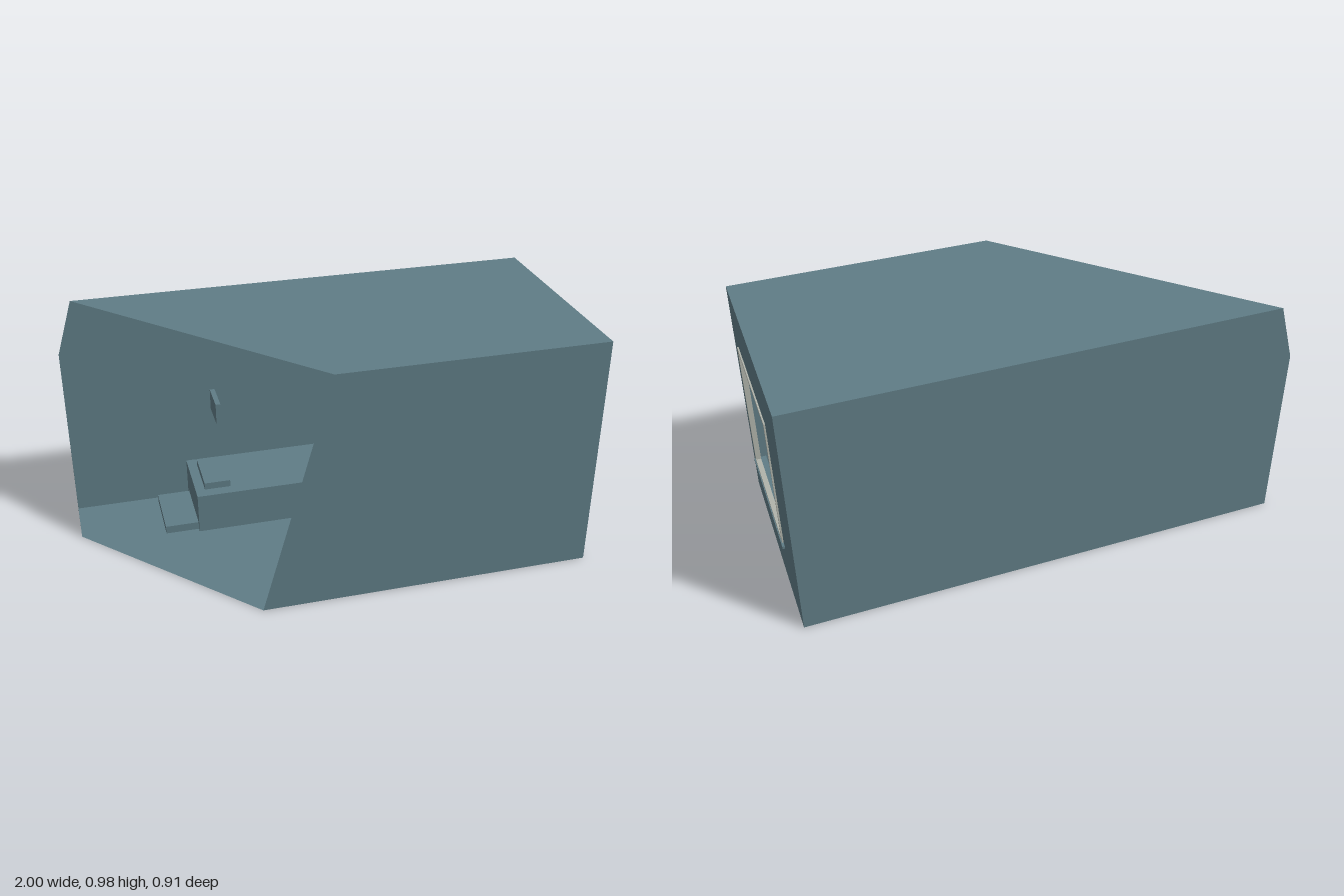
import * as THREE from 'three';

const slate = new THREE.MeshStandardMaterial({ color: 0x607d86, side: THREE.DoubleSide });
slate.name = 'slate';
const pale = new THREE.MeshStandardMaterial({ color: 0xb0b3ab });
pale.name = 'paleFrame';

function add(parent, name, geometry, x = 0, y = 0, z = 0, material = slate) {
  const mesh = new THREE.Mesh(geometry, material);
  mesh.name = name;
  mesh.position.set(x, y, z);
  parent.add(mesh);
  return mesh;
}

// Box given by its lower and upper corners
function block(parent, name, a, b, material = slate) {
  const size = b.map((v, i) => v - a[i]);
  const mid = b.map((v, i) => (v + a[i]) / 2);
  return add(parent, name, new THREE.BoxGeometry(...size), ...mid, material);
}

// Flat polygon drawn in 2D, then placed in space by a rule
function panel(parent, name, points, place, hole) {
  const shape = new THREE.Shape(points.map(p => new THREE.Vector2(...p)));
  if (hole) shape.holes.push(new THREE.Path(hole.map(p => new THREE.Vector2(...p))));
  const g = new THREE.ShapeGeometry(shape);
  const pos = g.attributes.position;
  for (let i = 0; i < pos.count; i++) pos.setXYZ(i, ...place(pos.getX(i), pos.getY(i)));
  g.computeVertexNormals();
  add(parent, name, g);
}

const rect = (x0, y0, x1, y1) => [[x0, y0], [x1, y0], [x1, y1], [x0, y1]];

// Tapered limb through points given as [x, y, z, radius]
function limb(parent, name, points, sides = 8) {
  const group = new THREE.Group();
  group.name = name;
  for (let i = 0; i + 1 < points.length; i++) {
    const [a, b] = [points[i], points[i + 1]];
    const from = new THREE.Vector3(...a.slice(0, 3)), to = new THREE.Vector3(...b.slice(0, 3));
    const dir = to.clone().sub(from);
    const g = new THREE.CylinderGeometry(b[3], a[3], dir.length(), sides);
    const mid = from.clone().add(to).multiplyScalar(0.5);
    add(group, name + 'Segment', g, mid.x, mid.y, mid.z)
      .quaternion.setFromUnitVectors(new THREE.Vector3(0, 1, 0), dir.normalize());
  }
  parent.add(group);
}

// Room shell with one corner sliced off and left open
function buildRoom(root) {
  const room = new THREE.Group();
  room.name = 'room';
  root.add(room);
  const R = 0.99, H = 0.98, D = 0.455;
  panel(room, 'floor', [[-1, -D], [R, -D], [R, D], [-0.36, D], [-1, -0.23]], (x, z) => [x, 0, z]);
  panel(room, 'ceiling', [[-0.93, -D], [R, -D], [R, D], [-0.08, D]], (x, z) => [x, H, z]);
  panel(room, 'frontWall', [[-0.36, 0], [R, 0], [R, H], [-0.08, H]], (x, y) => [x, y, D]);
  panel(room, 'backWall', [[-1, 0], [R, 0], [R, H], [-0.93, H], [-1, 0.75]], (x, y) => [x, y, -D]);
  panel(room, 'leftWall', [[-D, 0], [-0.23, 0], [-D, 0.75]], (z, y) => [-1, y, z]);
  panel(room, 'windowWall', rect(-D, 0, D, H), (z, y) => [R, y, z], rect(-0.2, 0.21, 0.34, 0.772));
}

// Window surround and sill
function buildWindow(root) {
  const win = new THREE.Group();
  win.name = 'window';
  root.add(win);
  const [z0, z1, y0, y1, t, x0, x1] = [-0.2, 0.34, 0.21, 0.772, 0.013, 0.975, 0.996];
  block(win, 'frameBottom', [x0, y0, z0], [x1, y0 + t, z1], pale);
  block(win, 'frameTop', [x0, y1 - t, z0], [x1, y1, z1], pale);
  for (const z of [z0, z1 - t]) block(win, 'frameSide', [x0, y0 + t, z], [x1, y1 - t, z + t], pale);
  block(win, 'sill', [0.95, 0.198, -0.222], [1, 0.21, 0.357]);
}

// Pleated curtain hanging beside the window
function buildCurtain(root) {
  const g = new THREE.PlaneGeometry(0.11, 0.73, 30, 1).toNonIndexed();
  const pos = g.attributes.position;
  for (let i = 0; i < pos.count; i++) {
    const s = pos.getX(i);
    pos.setXYZ(i, 0.02 * Math.sin((s / 0.11) * Math.PI * 10), pos.getY(i), -s);
  }
  g.computeVertexNormals();
  add(root, 'curtain', g, 0.92, 0.385, 0.26);
  block(root, 'curtainPull', [0.92, 0.485, 0.189], [0.928, 0.54, 0.196]);
}

// Headless dress form standing at the window
function buildFigure(root) {
  const figure = new THREE.Group();
  figure.name = 'figure';
  figure.position.set(0.885, 0, 0.07);
  root.add(figure);
  const profile = [[0, 0.245], [0.056, 0.245], [0.062, 0.28], [0.061, 0.36], [0.058, 0.42], [0.052, 0.445], [0, 0.445]];
  const torso = new THREE.LatheGeometry(profile.map(p => new THREE.Vector2(...p)), 14).toNonIndexed();
  torso.scale(0.78, 1, 1);
  torso.computeVertexNormals();
  add(figure, 'torso', torso);
  for (const s of [-1, 1]) {
    limb(figure, 'arm', [[0, 0.452, s * 0.068, 0.011], [0, 0.435, s * 0.071, 0.016],
      [0, 0.33, s * 0.078, 0.015], [0.01, 0.2, s * 0.073, 0.009]]);
    limb(figure, 'leg', [[0, 0.25, s * 0.026, 0.021], [0, 0.13, s * 0.026, 0.017], [0, 0.01, s * 0.026, 0.013]]);
    block(figure, 'foot', [-0.015, 0.001, s * 0.026 - 0.013], [0.04, 0.02, s * 0.026 + 0.013]);
  }
}

// Bed, step and wall plate at the back of the room
function buildFurniture(root) {
  block(root, 'step', [-0.65, 0.001, -0.42], [-0.51, 0.035, -0.16]);
  block(root, 'bed', [-0.51, 0.001, -0.45], [0.1, 0.175, -0.14]);
  block(root, 'pillow', [-0.47, 0.175, -0.4], [-0.36, 0.205, -0.19]);
  block(root, 'hangingPlate', [-0.41, 0.5, -0.3], [-0.39, 0.59, -0.16]);
}

export function createModel() {
  const root = new THREE.Group();
  root.name = 'cutawayRoom';
  buildRoom(root);
  buildWindow(root);
  buildCurtain(root);
  buildFigure(root);
  buildFurniture(root);
  return root;
}
